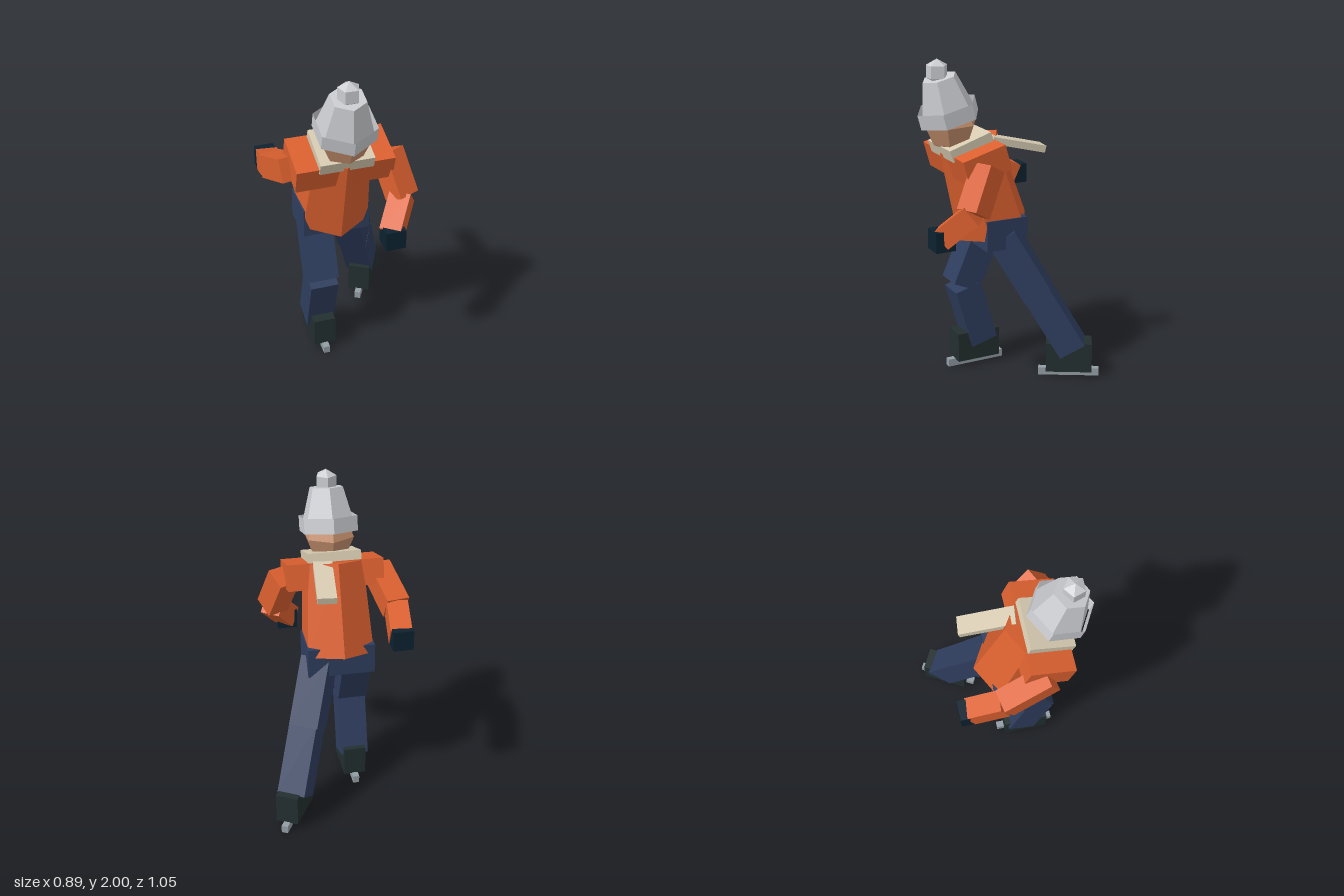
import * as THREE from 'three';

const material = (name, color, extra = {}) => {
  const m = new THREE.MeshStandardMaterial({ color, ...extra });
  m.name = name;
  return m;
};

export function createModel() {
  const model = new THREE.Group();
  model.name = 'iceSkater';

  const jacket = material('jacket orange', 0xdb602f);
  const denim = material('trouser navy', 0x2f3e5f);
  const boot = material('boot black', 0x232f2f);
  const glove = material('glove dark blue', 0x0c2230);
  const wool = material('hat grey', 0xcbcdd1, { side: THREE.DoubleSide });
  const skin = material('skin', 0xc8926f);
  const scarfTan = material('scarf tan', 0xd7cbb1);
  const steel = material('blade steel', 0x939da5);

  const MID = -0.03; // x of the body's centre line

  // Faceted mesh with hard edges
  const add = (name, geometry, mat, position, rotation = [0, 0, 0], parent = model) => {
    const flat = geometry.index ? geometry.toNonIndexed() : geometry;
    flat.computeVertexNormals();
    const mesh = new THREE.Mesh(flat, mat);
    mesh.name = name;
    mesh.position.set(...position);
    mesh.rotation.set(...rotation);
    parent.add(mesh);
    return mesh;
  };
  const box = (name, mat, size, position, rotation) =>
    add(name, new THREE.BoxGeometry(...size), mat, position, rotation);

  // Box running from one joint to the next
  const limb = (name, mat, from, to, width, height = width) => {
    const a = new THREE.Vector3(...from), b = new THREE.Vector3(...to);
    const centre = a.clone().add(b).multiplyScalar(0.5);
    const mesh = box(name, mat, [width, height, a.distanceTo(b)], centre.toArray());
    mesh.lookAt(b);
    return mesh;
  };

  // Torso leaning forward, with the shoulder yoke
  const LEAN = 0.28;
  add('torso', new THREE.CylinderGeometry(0.195, 0.237, 0.57, 6), jacket, [MID, 1.214, 0.093], [LEAN, 0, 0]);
  box('shoulders', jacket, [0.59, 0.16, 0.28], [MID, 1.405, 0.185], [LEAN, 0, 0]);
  box('hips', denim, [0.415, 0.19, 0.27], [MID, 0.94, 0.013]);

  // Scarf and its flying tail
  box('scarfCollar', scarfTan, [0.325, 0.075, 0.28], [MID, 1.492, 0.222], [0.32, 0, 0]);
  limb('scarfTail', scarfTan, [0.051, 1.513, 0.067], [0.088, 1.432, -0.267], 0.115, 0.043);

  // Head
  const headShape = new THREE.SphereGeometry(0.163, 6, 4).rotateY(Math.PI / 2);
  add('head', headShape, skin, [MID, 1.61, 0.287], [0.05, 0, 0]);

  // Hat: open turned-up brim around a tapered crown, bobble on top
  const hat = new THREE.Group();
  hat.name = 'hat';
  hat.position.set(MID, 1.678, 0.302);
  hat.rotation.x = 0.255;
  model.add(hat);
  add('hatBrim', new THREE.CylinderGeometry(0.19, 0.19, 0.093, 6, 1, true), wool, [0, 0, 0], [0, 0, 0], hat);
  add('hatCrown', new THREE.CylinderGeometry(0.107, 0.182, 0.265, 6), wool, [0, 0.087, 0], [0, 0, 0], hat);
  add('hatBobble', new THREE.SphereGeometry(0.075, 5, 3).rotateY(-Math.PI / 2), wool, [MID, 1.925, 0.37]);

  // Arms: one swung back, one swung forward
  const arms = [
    ['right', [-0.316, 1.39, 0.195], [-0.37, 1.262, -0.092], [-0.347, 1.17, -0.297], [-0.35, 1.172, -0.3]],
    ['left', [0.265, 1.4, 0.185], [0.325, 1.15, 0.31], [0.215, 0.995, 0.452], [0.218, 0.988, 0.463]],
  ];
  for (const [side, shoulder, elbow, wrist, hand] of arms) {
    limb(side + 'UpperArm', jacket, shoulder, elbow, 0.143);
    limb(side + 'Forearm', jacket, elbow, wrist, 0.13);
    box(side + 'Glove', glove, [0.123, 0.123, 0.123], hand);
  }

  // Legs: bent standing leg and straight pushing leg
  const legs = [
    ['right', [-0.143, 0.933, 0.014], [-0.143, 0.547, 0.18], [-0.138, 0.545, 0.17], [-0.138, 0.16, 0.056],
      [-0.135, 0.092], 0],
    ['left', [0.085, 0.91, 0], [0.2, 0.54, -0.193], [0.198, 0.56, -0.18], [0.315, 0.18, -0.378],
      [0.315, -0.351], -0.507],
  ];
  for (const [side, hip, kneeA, kneeB, ankle, [x, z], turn] of legs) {
    limb(side + 'Thigh', denim, hip, kneeA, 0.184);
    limb(side + 'Shin', denim, kneeB, ankle, 0.176);
    box(side + 'Boot', boot, [0.14, 0.188, 0.285], [x, 0.138, z], [0, turn, 0]);
    box(side + 'Blade', steel, [0.04, 0.048, 0.38], [x, 0.024, z], [0, turn, 0]);
  }

  return model;
}
